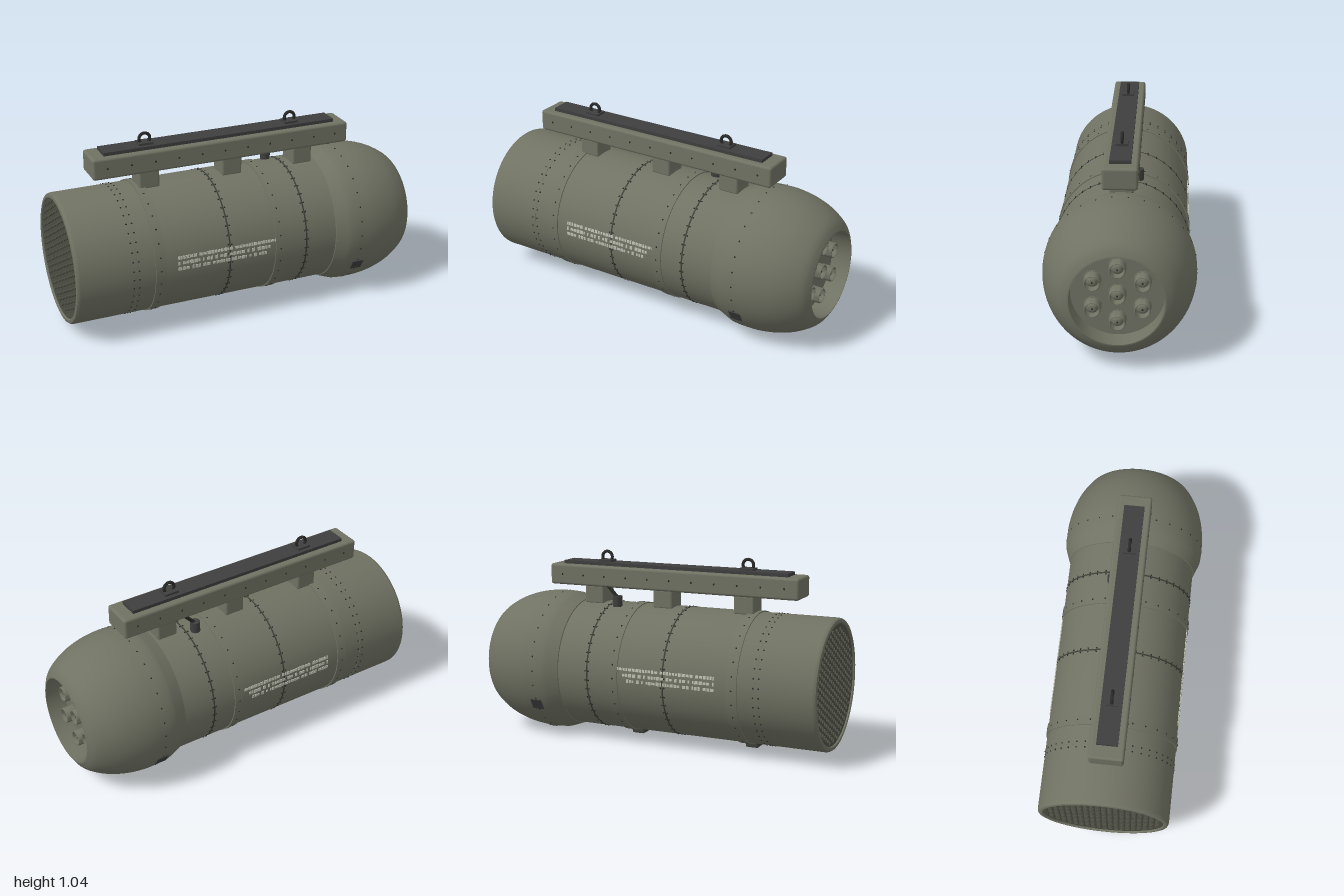
import * as THREE from 'three';
import { mergeGeometries, toCreasedNormals } from 'three/addons/utils/BufferGeometryUtils.js';
import { RoundedBoxGeometry } from 'three/addons/geometries/RoundedBoxGeometry.js';

const AXIS = 0.4, R = 0.355, NOSE_R = 0.394;

function paint(name, color) {
  const m = new THREE.MeshStandardMaterial({ color });
  m.name = name;
  return m;
}

export function createModel() {
  const olive = paint('olive', 0x707263);
  const grilleOlive = paint('grille olive', 0x4c4e43);
  const darkOlive = paint('dark olive', 0x3c3e36);
  const charcoal = paint('charcoal', 0x3e3e3f);
  const black = paint('near black', 0x292a28);
  const pale = paint('pale marking', 0xbcbdb0);

  const model = new THREE.Group();
  model.name = 'pod';
  const add = (name, geo, mat, x = 0, y = 0, z = 0) => {
    const m = new THREE.Mesh(geo, mat);
    m.name = name;
    m.position.set(x, y, z);
    model.add(m);
    return m;
  };
  // Lathe around the x axis; profile entries are [radius, x], rear to front
  const turn = (profile, seg = 96, crease = 0.5) => {
    const g = new THREE.LatheGeometry(profile.map(([r, x]) => new THREE.Vector2(r, x)), seg);
    g.rotateZ(-Math.PI / 2);
    return toCreasedNormals(g, crease);
  };
  // Raised band around the body
  const band = (name, x, w, h, mat) => add(name, turn([[R - 0.004, x - w / 2], [R + h, x - w / 2],
    [R + h, x + w / 2], [R - 0.004, x + w / 2]]), mat, 0, AXIS);

  // Cylindrical body with a rounded rear rim
  add('body', turn([[0.326, -0.96], [0.326, -0.996], [0.33, -1], [0.34, -1], [0.348, -0.997],
    [0.353, -0.99], [R, -0.98], [R, 0.48]]), olive, 0, AXIS);

  // Bulged nose with a recessed front opening
  const curve = new THREE.SplineCurve([[0.39, 0.56], [NOSE_R, 0.61], [0.393, 0.69], [0.379, 0.78],
    [0.352, 0.865], [0.314, 0.935], [0.28, 0.976], [0.24, 1]].map(p => new THREE.Vector2(...p)));
  const nose = curve.getPoints(32).map(p => [Math.min(p.x, NOSE_R), p.y]);
  add('nose', turn([[0.35, 0.475], [0.36, 0.478], [0.383, 0.54], ...nose,
    [0.236, 1], [0.236, 0.89], [0, 0.89]]), olive, 0, AXIS);

  // Seven nozzles in the opening, each a cup with a domed centre
  const cup = turn([[0.042, 0.88], [0.042, 0.948], [0.039, 0.953], [0.036, 0.953], [0.034, 0.948],
    [0.034, 0.905], [0.03, 0.92], [0.021, 0.932], [0.01, 0.938], [0, 0.94]], 28, 0.7);
  const collar = new THREE.TorusGeometry(0.043, 0.003, 6, 28).rotateY(Math.PI / 2);
  const pin = new THREE.SphereGeometry(0.005, 8, 6);
  for (let i = 0; i < 7; i++) {
    const a = Math.PI / 2 + i * Math.PI / 3, r = i === 6 ? 0 : 0.143;
    const y = AXIS + r * Math.sin(a), z = r * Math.cos(a);
    add('nozzle', cup, olive, 0, y, z);
    add('nozzleCollar', collar, olive, 0.892, y, z);
    add('nozzlePin', pin, black, 0.94, y, z);
  }

  // Rear grille: plate with hexagonal holes over a black backing
  const plate = new THREE.Shape().absarc(0, 0, 0.328, 0, Math.PI * 2);
  const pitch = 0.037;
  for (let j = -10; j <= 10; j++) for (let i = -10; i <= 10; i++) {
    const cy = (i + (Math.abs(j) % 2) / 2) * pitch, cx = j * pitch * 0.866;
    if (Math.hypot(cx, cy) > 0.308) continue;
    const pts = [];
    for (let k = 0; k < 6; k++) {
      const a = -k * Math.PI / 3;
      pts.push(new THREE.Vector2(cx + 0.017 * Math.cos(a), cy + 0.017 * Math.sin(a)));
    }
    plate.holes.push(new THREE.Path(pts));
  }
  const grille = new THREE.ExtrudeGeometry(plate, { depth: 0.018, bevelEnabled: false, curveSegments: 48 });
  add('rearGrille', grille.rotateY(-Math.PI / 2), grilleOlive, -0.972, AXIS);
  add('rearBacking', new THREE.CircleGeometry(0.328, 64).rotateY(-Math.PI / 2), black, -0.971, AXIS);

  // Panel seams around the body
  band('rearSeam', -0.677, 0.006, 0.001, olive);
  for (const x of [-0.155, 0.297]) band('seam', x, 0.008, 0.001, darkOlive);

  // Clamp straps with a dark block underneath
  for (const x of [-0.547, 0.14]) {
    band('strap', x, 0.058, 0.006, olive);
    add('strapBlock', new RoundedBoxGeometry(0.07, 0.04, 0.09, 2, 0.005), darkOlive, x, 0.037);
  }

  // Rings of rivets
  const rivets = [];
  const ring = (x, r, n) => {
    for (let i = 0; i < n; i++) {
      const a = (i + 0.5) / n * Math.PI * 2;
      rivets.push(new THREE.SphereGeometry(0.005, 6, 4).scale(1, 0.6, 1)
        .translate(x, r, 0).rotateX(a).translate(0, AXIS, 0));
    }
  };
  for (const x of [-0.695, -0.665, -0.165, -0.145, 0.288, 0.306]) ring(x, R + 0.001, 44);
  for (const x of [-0.547, 0.14]) ring(x, R + 0.006, 30);
  ring(0.62, NOSE_R, 30);
  // Rivets along both sides of the rail
  for (let i = 0; i < 11; i++) for (const z of [-0.09, 0.09]) {
    rivets.push(new THREE.SphereGeometry(0.0065, 6, 4).scale(1, 1, 0.6).translate(-0.73 + i * 0.132, 0.904, z));
  }
  add('rivets', mergeGeometries(rivets), black);

  // Dark plates on the nose flanks and smaller ones near the underside
  for (const [deg, size, x] of [[30, 0.066, 0.622], [150, 0.066, 0.622], [70, 0.036, 0.643], [110, 0.036, 0.643]]) {
    const g = new THREE.BoxGeometry(size, size, 0.018).translate(x, 0, NOSE_R - 0.005);
    add('nosePlate', g.rotateX(deg * Math.PI / 180), charcoal, 0, AXIS);
  }

  // Mounting rail, pylons and top strip
  add('rail', new RoundedBoxGeometry(1.476, 0.116, 0.182, 4, 0.014), olive, -0.071, 0.903);
  for (const x of [-0.495, -0.02, 0.403]) {
    add('pylon', new RoundedBoxGeometry(0.116, 0.106, 0.13, 3, 0.012), olive, x, 0.797);
  }
  add('railStrip', new THREE.BoxGeometry(1.333, 0.024, 0.11), charcoal, -0.071, 0.967);

  // Suspension lugs
  for (const x of [-0.495, 0.35]) {
    add('lugBase', new THREE.BoxGeometry(0.08, 0.018, 0.066), charcoal, x, 0.982);
    add('lugRing', new THREE.TorusGeometry(0.03, 0.0085, 10, 32), black, x, 1.006);
  }

  // Cable connector behind the rail
  add('connector', new THREE.CylinderGeometry(0.027, 0.027, 0.06, 20), charcoal, 0.245, 0.772, -0.083);
  const cable = new THREE.LineCurve3(new THREE.Vector3(0.245, 0.79, -0.08), new THREE.Vector3(0.31, 0.86, -0.08));
  add('cable', new THREE.TubeGeometry(cable, 1, 0.01, 10), black);

  // Pale broken dashes in three rows on both flanks
  const dashes = [];
  let seed = 7;
  const rnd = () => (seed = (seed * 16807) % 2147483647) / 2147483647;
  for (const [y, end] of [[0.455, 0.11], [0.424, 0.08], [0.393, 0.06]]) {
    const tilt = Math.asin((y - AXIS) / R);
    for (let x = -0.45; x < end;) {
      const w = 0.008 + 0.012 * rnd(), h = 0.012 + 0.007 * rnd();
      for (const a of [-tilt, Math.PI + tilt]) {
        dashes.push(new THREE.BoxGeometry(w, h, 0.006).translate(x + w / 2, 0, R + 0.001).rotateX(a));
      }
      x += w + (rnd() < 0.25 ? 0.016 : 0.005);
    }
  }
  add('dashMarkings', mergeGeometries(dashes), pale, 0, AXIS);

  return model;
}
